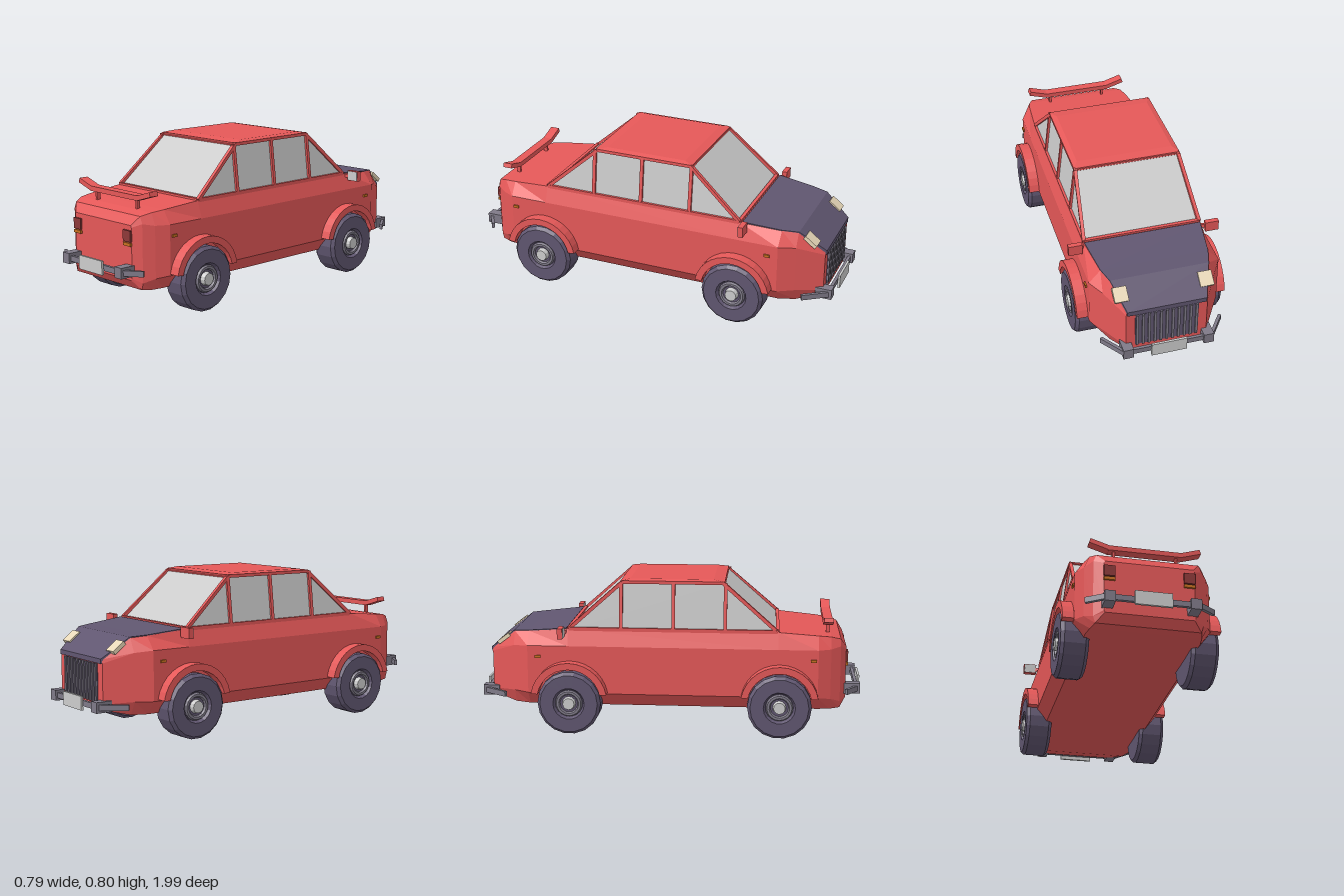
import * as THREE from 'three';

const mat = (color) => new THREE.MeshStandardMaterial({ color, flatShading: true });
const red = mat(0xe55858), dark = mat(0x605670), grey = mat(0xcccccc), steel = mat(0x7f7a88);
const lampRed = mat(0x8c3838), amber = mat(0xc87020), cream = mat(0xe8d8b8);

// Skin over a list of closed loops of [x, y, z], capped at both ends
function loft(loops) {
  const n = loops[0].length, idx = [];
  for (let i = 0; i < loops.length - 1; i++) {
    for (let j = 0; j < n; j++) {
      const a = i * n + j, b = i * n + (j + 1) % n, c = b + n, d = a + n;
      idx.push(a, b, c, a, c, d);
    }
  }
  const last = (loops.length - 1) * n;
  for (let j = 1; j < n - 1; j++) idx.push(0, j + 1, j, last, last + j, last + j + 1);
  const g = new THREE.BufferGeometry();
  g.setAttribute('position', new THREE.Float32BufferAttribute(loops.flat(2), 3));
  g.setIndex(idx);
  g.computeVertexNormals();
  return g;
}

export function createModel() {
  const car = new THREE.Group();
  car.name = 'car';
  const add = (name, geo, m, x = 0, y = 0, z = 0, parent = car) => {
    const mesh = new THREE.Mesh(geo, m);
    mesh.name = name;
    mesh.position.set(x, y, z);
    parent.add(mesh);
    return mesh;
  };
  const box = (name, m, w, h, d, x, y, z) => add(name, new THREE.BoxGeometry(w, h, d), m, x, y, z);
  // Bar of section w x h between two points
  const beam = (name, m, a, b, w, h) => {
    const p = new THREE.Vector3(...a), q = new THREE.Vector3(...b);
    const mesh = box(name, m, w, h, p.distanceTo(q), 0, 0, 0);
    mesh.position.copy(p).add(q).multiplyScalar(0.5);
    mesh.lookAt(q);
    return mesh;
  };

  // Lower body: z, bottom half width and y, side half width with its two ys, top half width and y
  const sections = [
    [-0.94, 0.19, 0.17, 0.205, 0.2, 0.40, 0.2, 0.42],
    [-0.81, 0.25, 0.14, 0.285, 0.21, 0.45, 0.25, 0.52],
    [-0.73, 0.28, 0.14, 0.333, 0.21, 0.46, 0.275, 0.526],
    [-0.52, 0.28, 0.14, 0.333, 0.21, 0.46, 0.305, 0.545],
    [0.565, 0.28, 0.14, 0.333, 0.21, 0.46, 0.305, 0.545],
    [0.77, 0.28, 0.14, 0.333, 0.21, 0.46, 0.288, 0.527],
    [0.835, 0.27, 0.14, 0.3, 0.2, 0.46, 0.275, 0.52],
    [0.885, 0.255, 0.145, 0.265, 0.18, 0.47, 0.25, 0.505],
    [0.915, 0.215, 0.19, 0.22, 0.2, 0.45, 0.215, 0.46],
  ];
  add('body', loft(sections.map(([z, xb, yb, xs, y1, y2, xt, yt]) => [
    [xb, yb, z], [xs, y1, z], [xs, y2, z], [xt, yt, z],
    [-xt, yt, z], [-xs, y2, z], [-xs, y1, z], [-xb, yb, z],
  ])), red);

  // Dark bonnet panel
  add('bonnet', loft([[-0.946, 0.2, 0.418], [-0.812, 0.25, 0.52], [-0.73, 0.275, 0.526], [-0.53, 0.302, 0.545]]
    .map(([z, x, y]) => [[x, y - 0.02, z], [x, y + 0.004, z], [-x, y + 0.004, z], [-x, y - 0.02, z]])), dark);

  // Cabin: glass core, roof and pillars
  const ring = (x, y, z1, z0) => [[x, y, z1], [x, y, z0], [-x, y, z0], [-x, y, z1]];
  add('windows', loft([ring(0.298, 0.54, 0.558, -0.512), ring(0.268, 0.79, 0.278, -0.238)]), grey);
  add('roof', loft([ring(0.277, 0.785, 0.292, -0.252), ring(0.274, 0.797, 0.28, -0.24),
    ring(0.25, 0.805, 0.23, -0.2)]), red);
  const base = ring(0.3, 0.546, 0.56, -0.515), top = ring(0.27, 0.789, 0.28, -0.24);
  for (let i = 0; i < 4; i++) {
    const j = (i + 1) % 4;
    beam('cornerPillar', red, base[i], top[i], 0.018, 0.018);
    beam('windowSill', red, base[i], base[j], 0.018, 0.018);
    beam('roofRail', red, top[i], top[j], 0.016, 0.016);
  }

  // Wheel profile: radius and distance across the tyre
  const tyre = new THREE.LatheGeometry([[0.075, -0.069], [0.15, -0.069], [0.165, -0.052],
    [0.165, 0.052], [0.15, 0.069], [0.082, 0.069], [0.072, 0.05], [0, 0.05]]
    .map(([r, y]) => new THREE.Vector2(r, y)), 18);
  const tyreBack = new THREE.CylinderGeometry(0.08, 0.08, 0.02, 18);
  const rim = new THREE.TorusGeometry(0.058, 0.012, 6, 18).rotateX(Math.PI / 2);
  const hub = new THREE.CylinderGeometry(0.03, 0.036, 0.03, 12);

  // Wheel arch: extruded half ring
  const archShape = new THREE.Shape();
  archShape.absarc(0, 0, 0.2, 0.18, Math.PI - 0.18, false);
  archShape.absarc(0, 0, 0.165, Math.PI - 0.2, 0.2, true);
  const arch = new THREE.ExtrudeGeometry(archShape, { depth: 0.17, bevelEnabled: false, curveSegments: 7 });
  arch.translate(0, 0, -0.085).rotateY(Math.PI / 2);

  for (const s of [1, -1]) {
    for (const z of [0.575, -0.51]) {
      const wheel = new THREE.Group();
      wheel.name = 'wheel';
      wheel.position.set(s * 0.319, 0.167, z);
      wheel.rotation.z = -s * Math.PI / 2;
      car.add(wheel);
      add('tyre', tyre, dark, 0, 0, 0, wheel);
      add('tyreBack', tyreBack, dark, 0, -0.058, 0, wheel);
      add('rim', rim, steel, 0, 0.056, 0, wheel);
      add('hubcap', hub, grey, 0, 0.06, 0, wheel);
      add('wheelArch', arch, red, s * 0.304, 0.182, z);
    }

    // Side window pillars
    for (const z of [0.292, 0.025, -0.245]) {
      beam('sidePillar', red, [s * 0.3, 0.546, z], [s * 0.27, 0.79, z], 0.018, 0.018);
    }

    // Mirror
    beam('mirrorArm', red, [s * 0.295, 0.53, -0.53], [s * 0.335, 0.532, -0.545], 0.014, 0.018);
    box('mirrorHousing', red, 0.07, 0.054, 0.026, s * 0.355, 0.535, -0.55);
    box('mirrorGlass', grey, 0.064, 0.048, 0.004, s * 0.355, 0.535, -0.536);

    // Lights
    box('tailLight', lampRed, 0.055, 0.055, 0.03, s * 0.194, 0.408, 0.91);
    box('rearIndicator', amber, 0.055, 0.016, 0.03, s * 0.194, 0.367, 0.91);
    for (const z of [0.745, -0.675]) box('sideMarker', amber, 0.02, 0.014, 0.03, s * 0.331, 0.404, z);
    box('headlight', cream, 0.07, 0.02, 0.075, s * 0.215, 0.476, -0.87).rotation.x = -0.655;

    // Spoiler end and strut
    beam('spoilerEnd', red, [s * 0.178, 0.577, 0.82], [s * 0.275, 0.607, 0.82], 0.05, 0.024);
    box('spoilerStrut', red, 0.012, 0.06, 0.02, s * 0.155, 0.54, 0.82);
  }
  box('spoiler', red, 0.365, 0.025, 0.05, 0, 0.577, 0.82);

  // Bumpers: e is the end of the car, with bar height, bar z and tip z
  for (const [e, y, zBar, zTip] of [[1, 0.24, 0.972, 0.915], [-1, 0.192, 0.972, 0.855]]) {
    const front = e < 0 ? 'front' : 'rear';
    box(front + 'BumperBar', steel, 0.42, 0.028, 0.016, 0, y, e * zBar);
    box(front + 'Plate', grey, 0.18, 0.07, 0.012, 0, y + 0.002, e * 0.99);
    for (const s of [1, -1]) {
      box(front + 'BumperBlock', steel, 0.052, 0.054, 0.085, s * 0.205, y, e * 0.948);
      beam(front + 'BumperEnd', steel, [s * 0.225, y, e * zBar], [s * 0.308, y, e * zTip], 0.016, 0.028);
    }
  }

  // Grille with upright bars
  box('grillePanel', dark, 0.32, 0.19, 0.008, 0, 0.3, -0.94);
  for (let i = 0; i < 11; i++) box('grilleBar', steel, 0.012, 0.19, 0.014, -0.15 + i * 0.03, 0.3, -0.944);

  return car;
}
